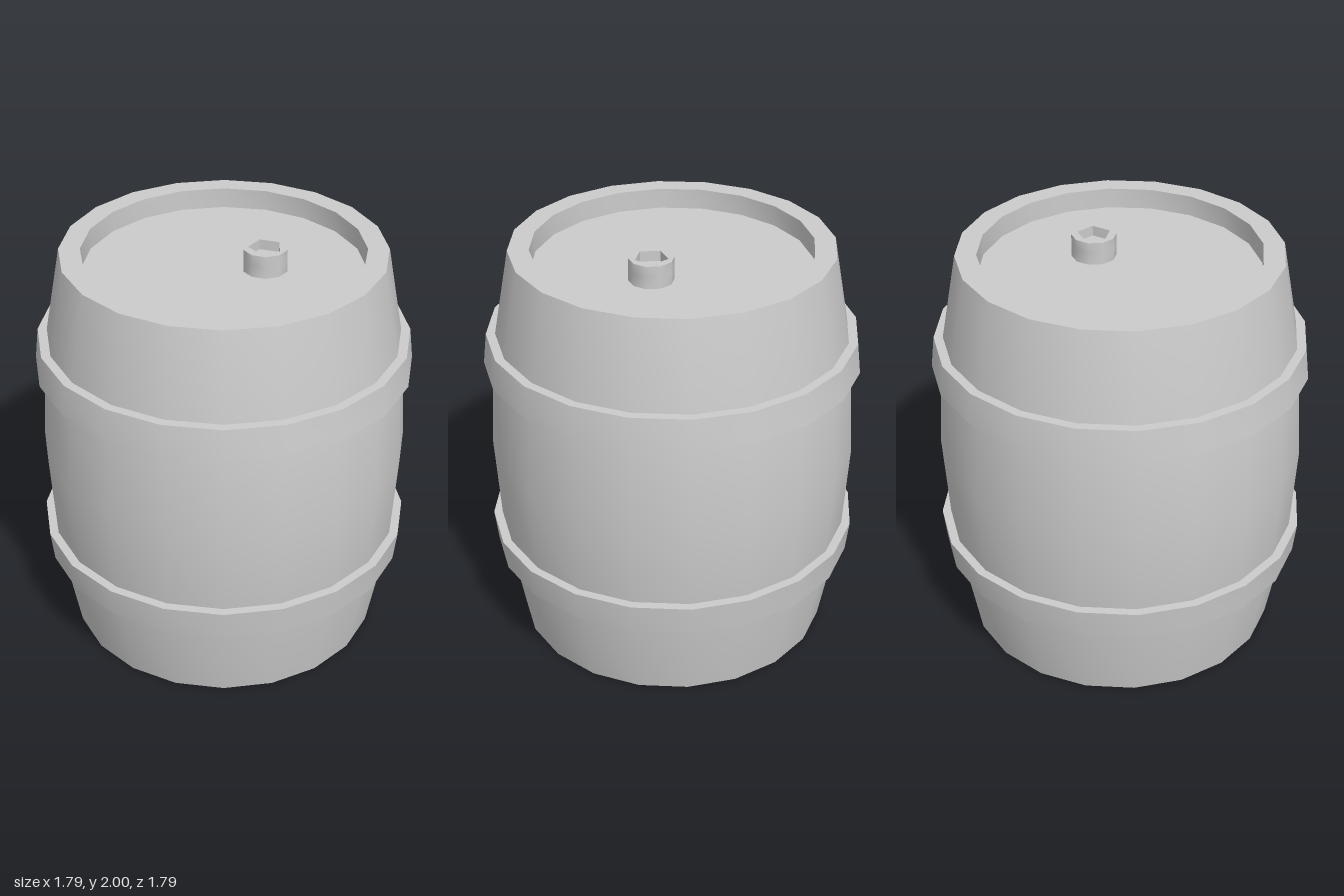
import * as THREE from 'three';
import { toCreasedNormals } from 'three/addons/utils/BufferGeometryUtils.js';

const SIDES = 20, TOP = 1.99, RIM = 0.66, RECESS = 0.1;

export function createModel() {
  const group = new THREE.Group();
  const material = new THREE.MeshStandardMaterial({ color: 0xcccccc });

  const add = (name, geometry, crease = 0.6) => {
    const mesh = new THREE.Mesh(toCreasedNormals(geometry, crease), material);
    mesh.name = name;
    group.add(mesh);
    return mesh;
  };
  const lathe = (points) =>
    new THREE.LatheGeometry(points.map(([r, y]) => new THREE.Vector2(r, y)), SIDES);

  // Bulging staves with a flat rim and a recess at both ends
  add('staves', lathe([
    [RIM, RECESS], [RIM, 0], [0.76, 0], [0.85, 0.495], [0.88, TOP / 2],
    [0.85, TOP - 0.495], [0.76, TOP], [RIM, TOP], [RIM, TOP - RECESS],
  ]));

  // Recessed end lids
  const lid = (name, y, turn) => {
    const geometry = new THREE.CircleGeometry(RIM, SIDES).rotateX(turn);
    add(name, geometry).position.y = y;
  };
  lid('topLid', TOP - RECESS, -Math.PI / 2);
  lid('bottomLid', RECESS, Math.PI / 2);

  // Hoops, each wider toward the middle of the barrel
  const hoop = (name, low, high, rLow, rHigh) => add(name, lathe([
    [0.81, low], [rLow, low], [rHigh, high], [0.81, high],
  ]));
  hoop('upperHoop', 1.42, 1.57, 0.897, 0.88);
  hoop('lowerHoop', 0.42, 0.57, 0.88, 0.897);

  // Bung: ten-sided plug with a five-sided socket in its top
  const ring = (radius, sides, start) => Array.from({ length: sides }, (_, i) => {
    const a = start + (i / sides) * Math.PI * 2;
    return new THREE.Vector2(radius * Math.cos(a), radius * Math.sin(a));
  });
  const bungX = 0.19, socketDepth = 0.05;
  const collarShape = new THREE.Shape(ring(0.106, 10, Math.PI / 2));
  collarShape.holes.push(new THREE.Path(ring(0.08, 5, Math.PI)));
  const collar = new THREE.ExtrudeGeometry(collarShape, { depth: socketDepth, bevelEnabled: false });
  add('bungCollar', collar.rotateX(-Math.PI / 2), 0.7).position.set(bungX, 2 - socketDepth, 0);

  const baseHeight = 2 - socketDepth - (TOP - RECESS);
  const base = new THREE.CylinderGeometry(0.106, 0.106, baseHeight, 10);
  add('bungBase', base, 0.7).position.set(bungX, TOP - RECESS + baseHeight / 2, 0);

  return group;
}
